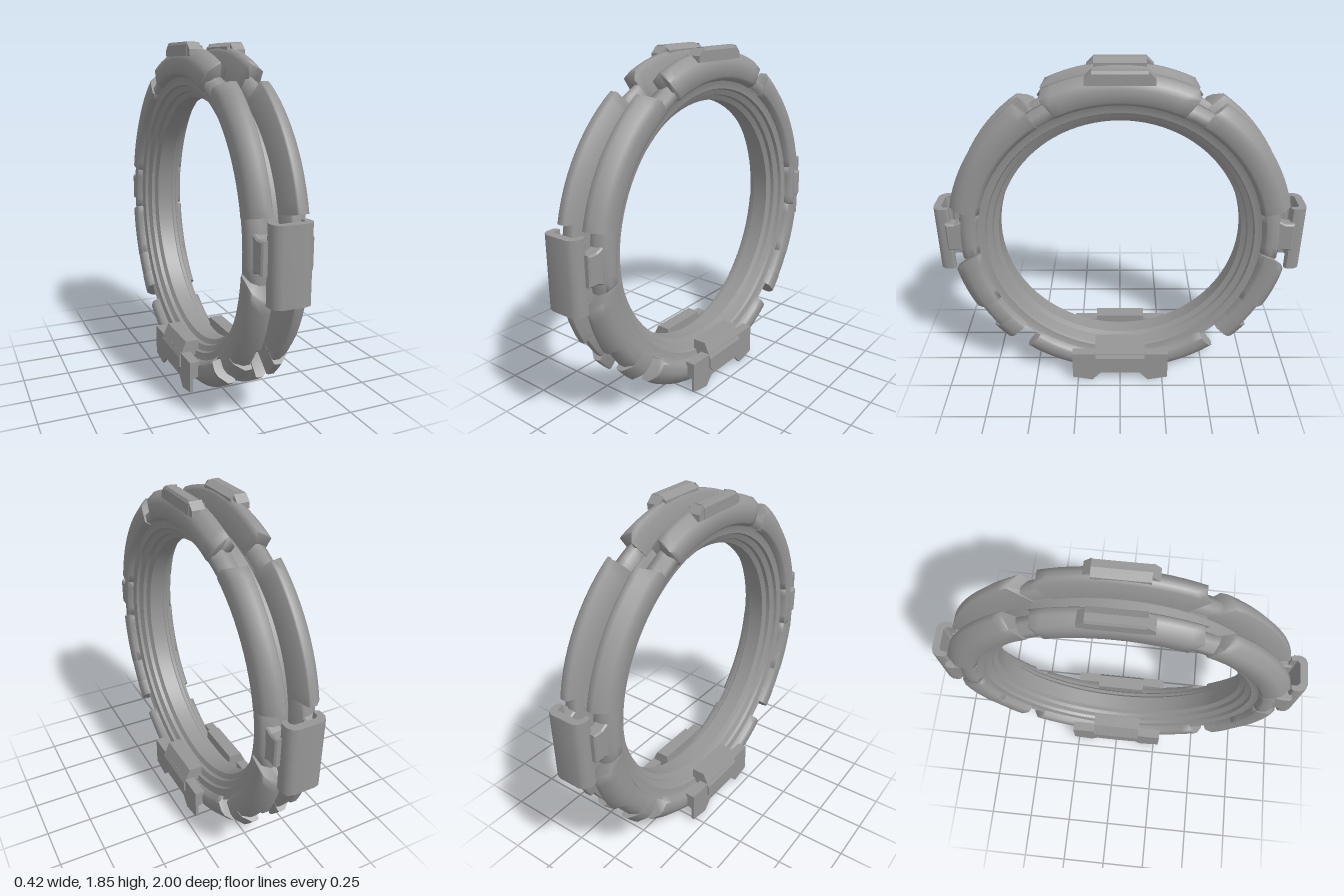
import * as THREE from 'three';
import { toCreasedNormals } from 'three/addons/utils/BufferGeometryUtils.js';

const CY = 0.915; // height of the ring centre
const material = new THREE.MeshStandardMaterial({ color: 0x969696 });
const rad = THREE.MathUtils.degToRad;
const clamp = THREE.MathUtils.clamp;

// Sweeps a closed [x, radius] profile around the x axis. Angles are in degrees
// from +z upwards and may be functions of the radius for slanted ends.
function sweep(profile, from, to, steps, crease) {
  const pts = profile.map(([x, r]) => new THREE.Vector2(x, r));
  if (THREE.ShapeUtils.area(pts) < 0) pts.reverse();
  const at = (a, r) => (typeof a === 'function' ? a(r) : a);
  const n = pts.length, pos = [], idx = [];
  for (let s = 0; s <= steps; s++) {
    for (const p of pts) {
      const a = rad(THREE.MathUtils.lerp(at(from, p.y), at(to, p.y), s / steps));
      pos.push(p.x, CY + p.y * Math.sin(a), p.y * Math.cos(a));
    }
  }
  for (let s = 0; s < steps; s++) {
    for (let i = 0; i < n; i++) {
      const j = (i + 1) % n, a = s * n, b = a + n;
      idx.push(a + i, b + i, b + j, a + i, b + j, a + j);
    }
  }
  if (at(to, 1) - at(from, 1) < 359) {
    const last = steps * n;
    for (const [a, b, c] of THREE.ShapeUtils.triangulateShape(pts, [])) {
      idx.push(a, b, c, last + a, last + c, last + b);
    }
  }
  const g = new THREE.BufferGeometry();
  g.setAttribute('position', new THREE.Float32BufferAttribute(pos, 3));
  g.setIndex(idx);
  return toCreasedNormals(g, rad(crease));
}

function extrude(points, depth, bevel = 0) {
  const shape = new THREE.Shape(points.map(([x, y]) => new THREE.Vector2(x, y)));
  return new THREE.ExtrudeGeometry(shape, {
    depth: depth - 2 * bevel, bevelEnabled: bevel > 0, bevelSize: bevel,
    bevelThickness: bevel, bevelOffset: -bevel, bevelSegments: 1,
  }).translate(0, 0, bevel);
}

// Prism along x from a [z, y] outline
function prismX(points, x0, x1, bevel) {
  return extrude(points.map(([z, y]) => [-z, y]), x1 - x0, bevel).rotateY(Math.PI / 2).translate(x0, 0, 0);
}

// Prism along z from an [x, y] outline
function prismZ(points, z0, z1, bevel) {
  return extrude(points, z1 - z0, bevel).translate(0, 0, z0);
}

export function createModel() {
  const root = new THREE.Group();
  const add = (name, geometry) => {
    const mesh = new THREE.Mesh(geometry, material);
    mesh.name = name;
    root.add(mesh);
  };
  const flip = (p, s) => p.map(([x, y]) => [x * s, y]);

  // Inner core with stepped, sloping bands
  const coreHalf = [[0.045, 0.665], [0.06, 0.69], [0.08, 0.694], [0.095, 0.722],
    [0.112, 0.728], [0.118, 0.765], [0.128, 0.78], [0.058, 0.78], [0.05, 0.762]];
  add('innerRing', sweep([...coreHalf, ...flip(coreHalf, -1).reverse()], 0, 360, 96, 30));

  // Armour cross-section: outer face, rounded shoulder, side and inner slope
  const armour = (outer, wide = 0.152, shoulder = outer - 0.06) => [[0.05, 0.765], [0.058, outer - 0.006],
    [0.066, outer], [0.098, outer], [wide - 0.012, shoulder + 0.018], [wide, shoulder - 0.012],
    [wide, 0.792], [0.145, 0.781], [0.112, 0.762]];
  // Slanted joint between upper and lower armour, and the slanted ends at the crown
  const joint = (r) => -5.2 - clamp((r - 0.83) / 0.1, 0, 1) * 6.2;
  const upperEnd = (r) => 58 - clamp((r - 0.86) / 0.065, 0, 1) * 3;
  const crownCut = (r) => 63 + Math.min(3, Math.abs(r - 0.9) * 100);

  for (const s of [1, -1]) {
    const side = s > 0 ? 'left' : 'right';
    const place = (x0, x1) => (s > 0 ? [x0, x1] : [-x1, -x0]);
    const ring = (name, profile, a, b, steps) => add(side + name, sweep(flip(profile, s), a, b, steps, 88.5));

    // Front and back armour arcs; the back is the same arc mirrored in z
    for (const back of [false, true]) {
      const end = back ? 'Back' : 'Front';
      const arc = (name, profile, a, b, steps) => {
        const m = (v) => (typeof v === 'function' ? (r) => 180 - v(r) : 180 - v);
        ring(end + name, profile, back ? m(b) : a, back ? m(a) : b, steps);
      };
      arc('UpperArmour', armour(0.927), 12.6, upperEnd, 12);
      arc('BracketSeat', armour(0.87, 0.15, 0.835), (r) => joint(r) + 0.3, 12.6, 5);
      arc('LowerArmour', armour(0.927, 0.154), -28, (r) => joint(r) - 0.3, 5);
      arc('LowerRecess', armour(0.903, 0.154, 0.862), -38, -28, 3);
      arc('LowerEndArmour', armour(0.928, 0.154), -45, -38, 3);
      // Low clips filling the gaps beside the crown
      arc('CrownClip', [[0.055, 0.765], [0.06, 0.85], [0.1, 0.85], [0.138, 0.825], [0.14, 0.785], [0.112, 0.765]], 56, 66, 3);
    }

    // Crown armour and its raised cap
    ring('CrownArmour', [[0.05, 0.77], [0.058, 0.9], [0.075, 0.925], [0.105, 0.923], [0.145, 0.89],
      [0.158, 0.86], [0.16, 0.795], [0.148, 0.781], [0.112, 0.765]], crownCut, (r) => 180 - crownCut(r), 14);
    const cap = flip([[0.068, 1.79], [0.155, 1.79], [0.155, 1.845], [0.147, 1.86], [0.108, 1.86], [0.068, 1.838]], s);
    add(side + 'CrownCap', prismZ(cap, -0.135, 0.135));
    // Cap ends slope down to the crown
    for (const d of [1, -1]) {
      const slope = [[0.135, 1.79], [0.172, 1.79], [0.172, 1.822], [0.135, 1.857]];
      add(side + 'CrownCapEnd', prismX(slope.map(([z, y]) => [z * d, y]), ...place(0.085, 0.153)));
    }

    // Bottom armour arc
    ring('BottomArmour', armour(0.908, 0.155), -127, -53, 16);

    // Flared foot plate with a notch between its two feet
    const foot = [[-0.28, 0.2], [-0.28, 0.03], [-0.165, 0.008], [-0.115, 0.062],
      [0.115, 0.062], [0.165, 0.008], [0.28, 0.03], [0.28, 0.2]];
    add(side + 'FootPlate', prismX(foot, ...place(0.184, 0.2)));
    const web = flip([[0.14, 0.08], [0.195, 0.08], [0.2, 0.17], [0.165, 0.25], [0.13, 0.25]], s);
    add(side + 'FootMount', prismZ(web, -0.13, 0.13));
    for (const z of [-0.28, 0.14]) {
      const brace = flip([[0.14, 0.12], [0.19, 0.1], [0.2, 0.12], [0.19, 0.2], [0.145, 0.2]], s);
      add(side + 'FootBrace', prismZ(brace, z, z + 0.14));
    }
    // Clamp over the foot plate, narrowing at its lower edge
    const hook = flip([[0.095, 0.2], [0.19, 0.115], [0.21, 0.12], [0.21, 0.175], [0.17, 0.262], [0.095, 0.262]], s);
    add(side + 'FootClamp', prismZ(hook, -0.144, 0.144));
    const lip = [[-0.144, 0.125], [-0.112, 0.088], [0.112, 0.088], [0.144, 0.125]];
    add(side + 'ClampLip', prismX(lip, ...place(0.185, 0.21)));

    // Necks joining the end brackets to the ring
    for (const d of [1, -1]) {
      const neck = [[0.83, 0.85], [0.885, 0.87], [0.935, 0.87], [0.935, 1.025], [0.885, 1.025], [0.83, 1.05]];
      add(side + 'BracketNeck', prismX(neck.map(([z, y]) => [z * d, y]), ...place(0.06, 0.13), 0.008));
    }
  }

  // C-shaped brackets at the front and back
  const half = [[0.06, 1.0], [0.085, 0.99], [0.1, 0.965], [0.1, 0.925], [0.09, 0.915], [0.07, 0.915], [0.07, 0.945], [0.055, 0.96]];
  const outline = [...half, ...flip(half, -1).reverse()];
  for (const d of [1, -1]) {
    const g = extrude(outline, 0.37).rotateX(-Math.PI / 2); // outline y becomes -z
    if (d > 0) g.rotateY(Math.PI);
    add(d > 0 ? 'frontBracket' : 'backBracket', toCreasedNormals(g.translate(0, 0.732, 0), rad(40)));
  }
  return root;
}
